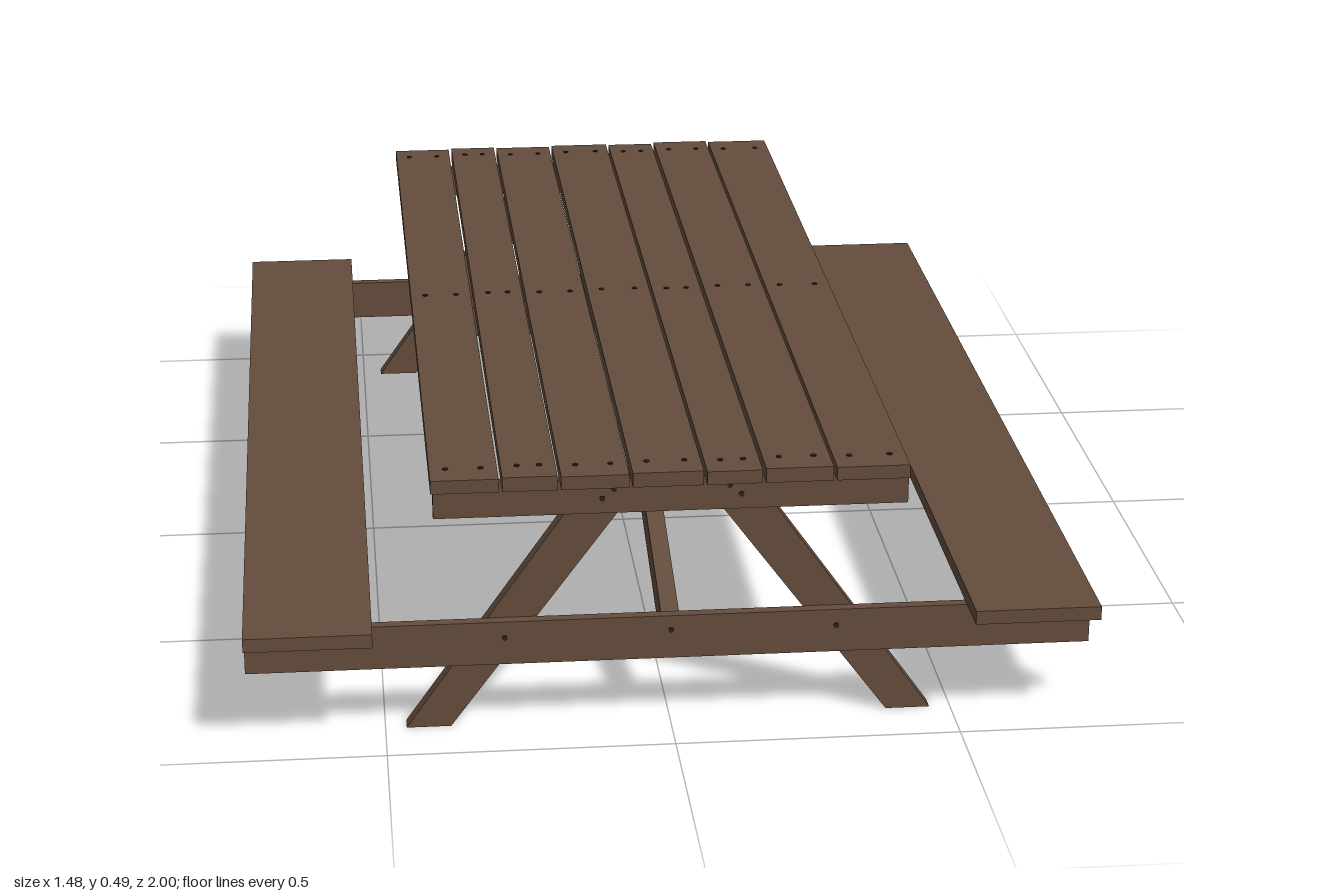
import * as THREE from 'three';

export function createModel() {
  const model = new THREE.Group();
  const wood = new THREE.MeshStandardMaterial({ color: 0x634c3c });
  wood.name = 'brown wood';
  const dark = new THREE.MeshStandardMaterial({ color: 0x2b211b });
  dark.name = 'dark nail';

  const add = (name, geometry, material = wood) => {
    const mesh = new THREE.Mesh(geometry, material);
    mesh.name = name;
    model.add(mesh);
    return mesh;
  };
  // Box given by its lower and upper limits on each axis
  const board = (name, x0, x1, y0, y1, z0, z1) =>
    add(name, new THREE.BoxGeometry(x1 - x0, y1 - y0, z1 - z0))
      .position.set((x0 + x1) / 2, (y0 + y1) / 2, (z0 + z1) / 2);
  // Flat timber cut to an outline
  const cut = (points, depth) => new THREE.ExtrudeGeometry(
    new THREE.Shape(points.map(([a, b]) => new THREE.Vector2(a, b))),
    { depth, bevelEnabled: false });
  const nailGeometry = new THREE.CylinderGeometry(0.005, 0.005, 0.004, 8);
  const nail = (x, y, z, facesEnd) => {
    const mesh = add('nail', nailGeometry, dark);
    mesh.position.set(x, y, z);
    if (facesEnd) mesh.rotation.x = Math.PI / 2;
  };

  // Table top planks, slightly uneven in width and length
  const planks = [
    [-0.415, -0.299, -0.968], [-0.293, -0.199, -0.968], [-0.193, -0.077, -0.97],
    [-0.071, 0.05, -0.97], [0.056, 0.151, -0.972], [0.157, 0.273, -0.975], [0.279, 0.405, -0.975],
  ];
  planks.forEach(([x0, x1, back], i) => {
    const top = 0.489 + (i % 2) * 0.002;
    board('topPlank', x0, x1, 0.465, top, back, 0.955);
    for (const z of [-0.918, 0.005, 0.903]) {
      for (const x of [x0 + 0.028, x1 - 0.028]) nail(x, top, z, false);
    }
  });

  // Cleat under the middle of the top
  board('middleCleat', -0.41, 0.41, 0.405, 0.465, -0.013, 0.013);

  // End frames: cleat, seat beam and splayed legs
  for (const [side, inner] of [[1, 0.895], [-1, 0.905]]) {
    const a = side * inner, b = side * (inner + 0.02);
    const z0 = Math.min(a, b), z1 = Math.max(a, b);
    board('endCleat', -0.41, 0.41, 0.403, 0.465, z0, z1);
    board('seatBeam', -0.74, 0.74, 0.125, 0.205, z0, z1);
    for (const s of [1, -1]) {
      const leg = add('leg', cut(
        [[s * 0.385, 0], [s * 0.463, 0], [s * 0.135, 0.465], [s * 0.04, 0.465]], 0.03));
      leg.position.z = side > 0 ? inner - 0.03 : -inner;
      nail(s * 0.1, 0.447, b, true);
      nail(s * 0.12, 0.43, b, true);
      nail(s * 0.29, 0.175, b, true);
      nail(s * 0.63, 0.178, b, true);
    }
    nail(0, 0.178, b, true);

    // Diagonal brace from the middle cleat down to the seat beam
    const brace = cut([[0, 0.405], [0, 0.465], [a, 0.2], [a, 0.14]], 0.032);
    brace.rotateY(-Math.PI / 2);
    add('diagonalBrace', brace).position.x = 0.016;
  }

  // Benches with a stiffening board below
  for (const s of [1, -1]) {
    board('benchSeat', s * 0.63 - 0.11, s * 0.63 + 0.11, 0.205, 0.23, -1, 1);
    board('benchStiffener', s * 0.63 - 0.014, s * 0.63 + 0.014, 0.133, 0.205, -0.905, 0.895);
  }

  return model;
}
